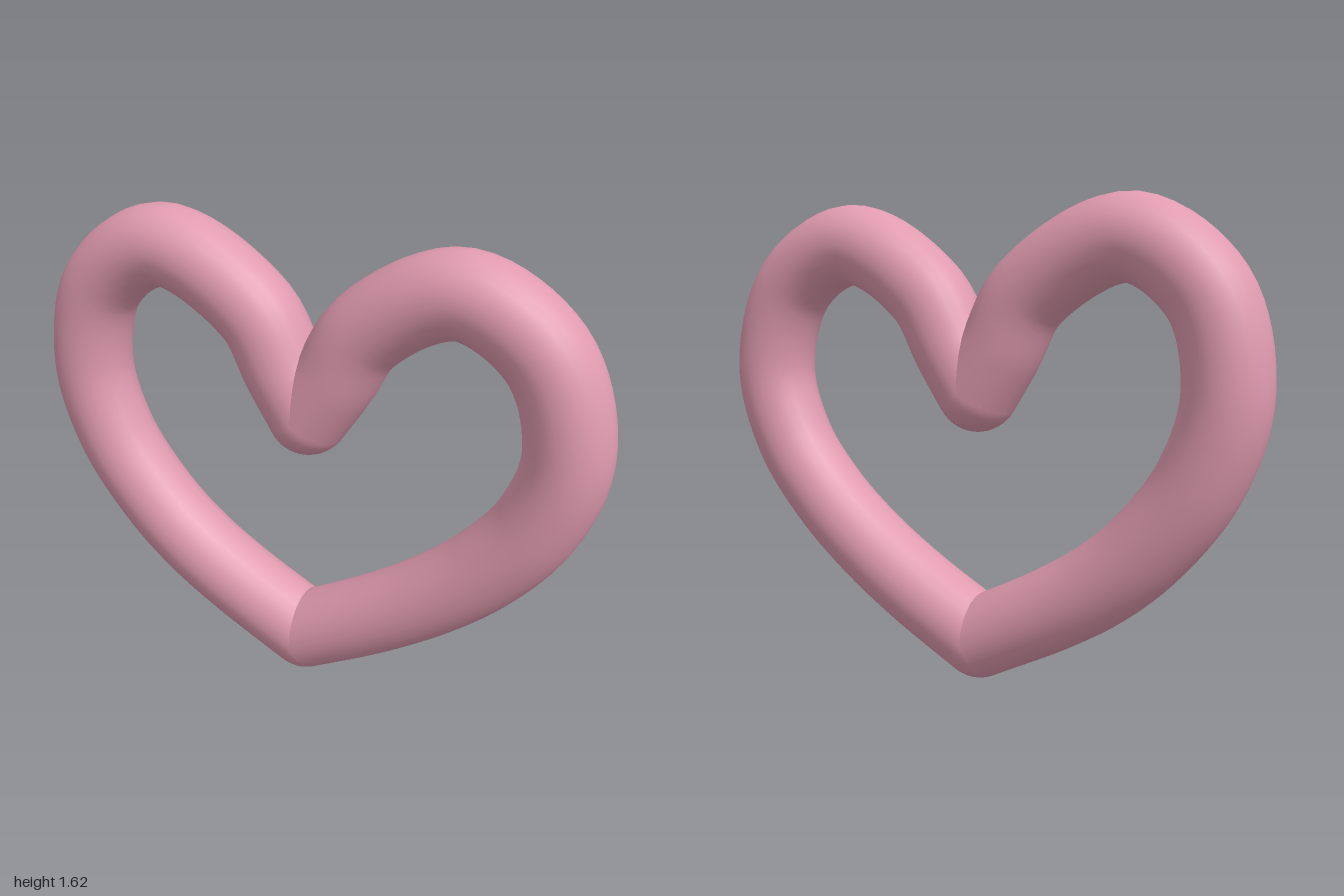
import * as THREE from 'three';

const RADIUS = 0.138;
const TIP = [-0.015, 0.143];
const DIP = [-0.005, 0.99];

export function createModel() {
  const group = new THREE.Group();
  group.name = 'heart';
  const pink = new THREE.MeshStandardMaterial({ color: 0xe09bb0 });
  pink.name = 'pink';

  const add = (name, geometry) => {
    const mesh = new THREE.Mesh(geometry, pink);
    mesh.name = name;
    group.add(mesh);
    return mesh;
  };

  // One half of the heart: a round tube from the bottom tip to the centre dip
  const addHalf = (name, points) => {
    const path = new THREE.CatmullRomCurve3(
      [TIP, ...points, DIP].map(([x, y]) => new THREE.Vector3(x, y, 0)));
    add(name, new THREE.TubeGeometry(path, 72, RADIUS, 24, false));
  };

  addHalf('leftHalf', [
    [0.25, 0.288], [0.45, 0.42], [0.63, 0.575], [0.785, 0.775], [0.86, 1.03],
    [0.765, 1.325], [0.5, 1.468], [0.2, 1.31], [0.085, 1.125],
  ]);
  addHalf('rightHalf', [
    [-0.29, 0.285], [-0.46, 0.393], [-0.62, 0.535], [-0.785, 0.76], [-0.862, 1.03],
    [-0.79, 1.325], [-0.54, 1.486], [-0.2, 1.315], [-0.09, 1.125],
  ]);

  // Round joints where the two halves meet
  for (const [name, [x, y]] of [['tipJoint', TIP], ['dipJoint', DIP]]) {
    add(name, new THREE.SphereGeometry(RADIUS - 0.0005, 32, 24)).position.set(x, y, 0);
  }
  return group;
}
